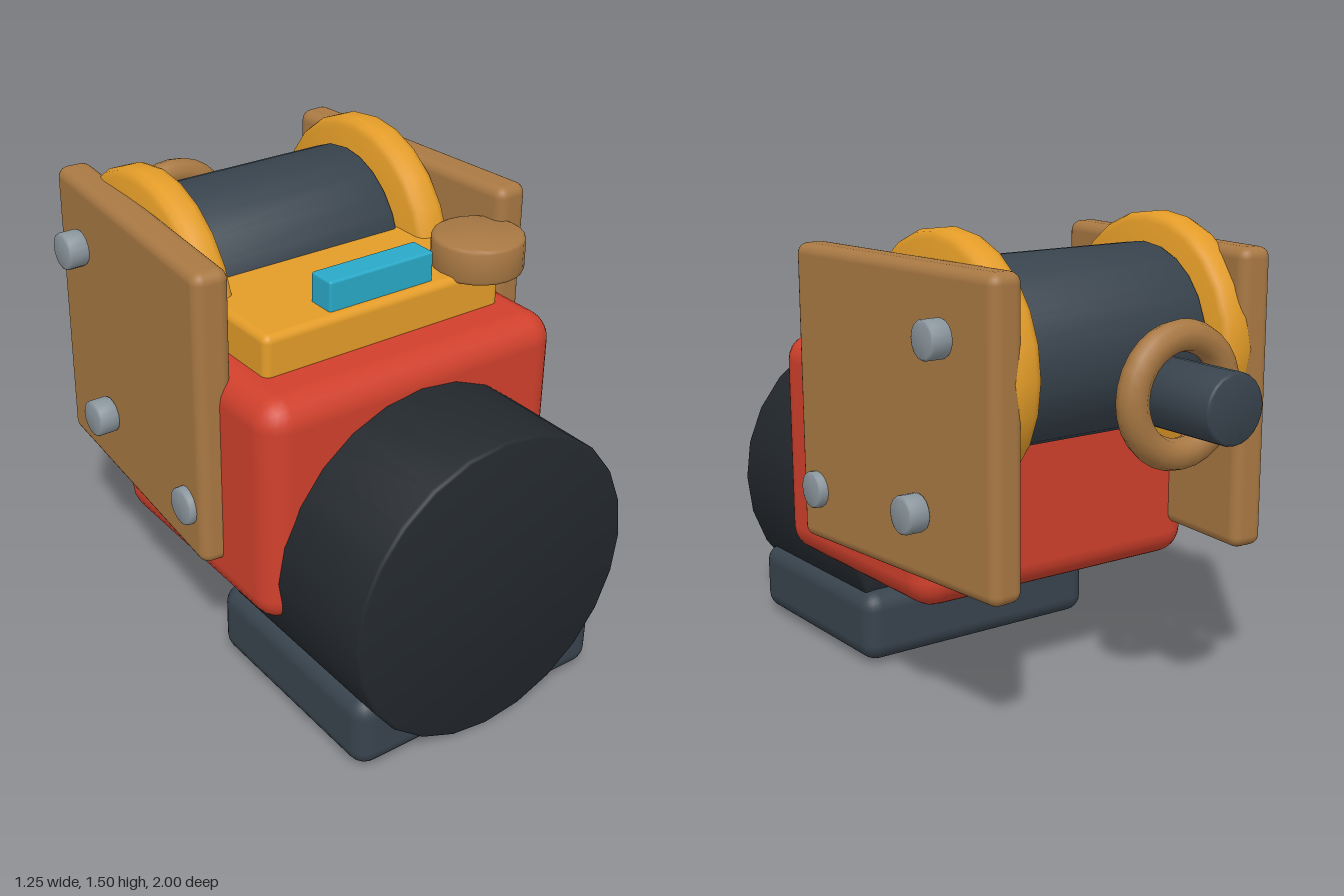
import * as THREE from 'three';
import { RoundedBoxGeometry } from 'three/addons/geometries/RoundedBoxGeometry.js';
import { toCreasedNormals } from 'three/addons/utils/BufferGeometryUtils.js';

const paint = (color) => new THREE.MeshStandardMaterial({ color });
const red = paint(0xd0402c), yellow = paint(0xe39c28), brown = paint(0xa87843);
const black = paint(0x23282d), slate = paint(0x38434d), cyan = paint(0x2aa9c8), steel = paint(0x8a959c);

export function createModel() {
  const model = new THREE.Group();

  const add = (name, geometry, material, x, y, z) => {
    const mesh = new THREE.Mesh(geometry, material);
    mesh.name = name;
    mesh.position.set(x, y, z);
    model.add(mesh);
    return mesh;
  };

  const box = (name, material, w, h, d, radius, x, y, z) =>
    add(name, new RoundedBoxGeometry(w, h, d, 3, radius), material, x, y, z);

  // Cylinder with bevelled rims, turned to lie along the given axis
  const disc = (name, material, axis, r, length, bevel, x, y, z, sides = 24) => {
    const h = length / 2, k = bevel * 0.3;
    const profile = [[0, -h], [r - bevel, -h], [r - k, -h + k], [r, -h + bevel],
      [r, h - bevel], [r - k, h - k], [r - bevel, h], [0, h]];
    const lathe = new THREE.LatheGeometry(profile.map((p) => new THREE.Vector2(...p)), sides);
    if (axis === 'x') lathe.rotateZ(-Math.PI / 2);
    if (axis === 'z') lathe.rotateX(Math.PI / 2);
    return add(name, toCreasedNormals(lathe, 0.85), material, x, y, z);
  };

  // Body, front drum and foot
  box('body', red, 1.08, 0.75, 0.87, 0.09, 0, 0.715, 0.195);
  disc('frontDrum', black, 'z', 0.5, 0.72, 0.012, 0, 0.5, 0.64);
  box('foot', slate, 0.92, 0.24, 0.75, 0.06, 0, 0.13, 0.595);

  // Top deck with its display bar and dial
  box('deck', yellow, 0.87, 0.15, 0.71, 0.025, 0, 1.145, 0.105);
  box('displayBar', cyan, 0.38, 0.11, 0.095, 0.008, 0, 1.26, 0.383);
  disc('dial', brown, 'y', 0.145, 0.115, 0.012, 0.39, 1.257, 0.4);

  // Spool
  disc('spool', slate, 'x', 0.296, 0.69, 0.012, 0, 1.118, -0.215);

  for (const side of [1, -1]) {
    const label = side > 0 ? 'left' : 'right';
    disc(label + 'Flange', yellow, 'x', 0.4, 0.115, 0.03, side * 0.408, 1.105, -0.2);

    // Side plates toe in towards the back
    const plate = box(label + 'Plate', brown, 0.115, 0.96, 0.977, 0.035, side * 0.51, 0.94, -0.108);
    plate.rotation.y = side * 0.083;

    for (const [y, z] of [[1.22, -0.39], [0.68, -0.26], [0.635, 0.28]]) {
      disc(label + 'Bolt', steel, 'x', 0.06, 0.07, 0.008, side * 0.592, y, z, 16);
    }
  }

  // Rear grip and its ring
  disc('rearGrip', slate, 'z', 0.105, 0.33, 0.008, 0, 1.05, -0.835);
  add('rearRing', new THREE.TorusGeometry(0.173, 0.048, 10, 28), brown, 0, 1.05, -0.767);

  return model;
}
